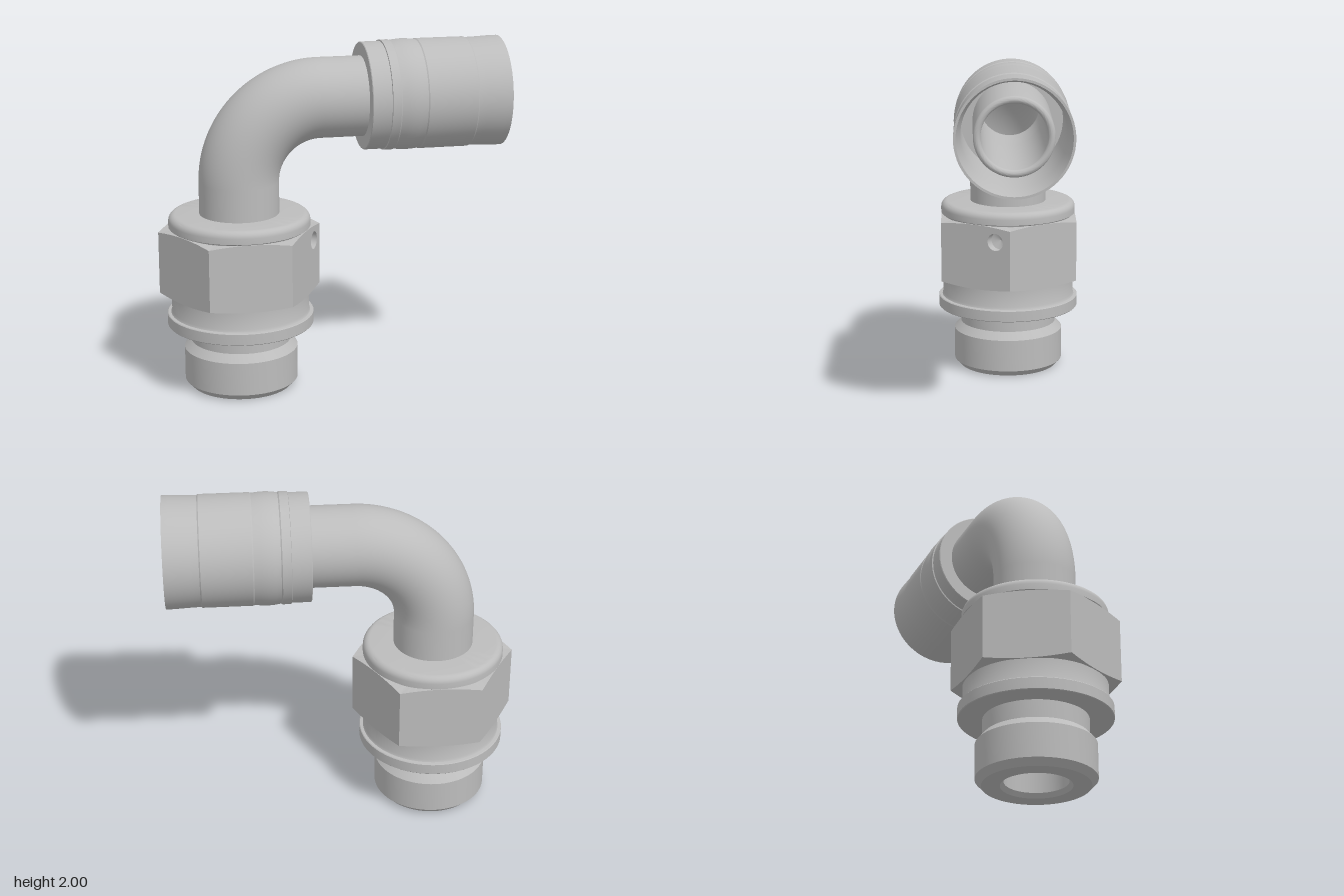
import * as THREE from 'three';
import { toCreasedNormals, mergeGeometries } from 'three/addons/utils/BufferGeometryUtils.js';

const AXIS_X = -0.5325;   // vertical axis of the threaded end
const AXIS_Y = 1.685;     // height of the horizontal hose end
const APOTHEM = 0.406, CORNER = APOTHEM / Math.cos(Math.PI / 6);
const TUBE_R = 0.23, BORE_R = 0.175, BEND_R = 0.465;

export function createModel() {
  const model = new THREE.Group();
  const steel = new THREE.MeshStandardMaterial({ color: 0xbcbcbc, side: THREE.DoubleSide });
  steel.name = 'plain steel';

  const add = (name, geometry, parent = model) => {
    const mesh = new THREE.Mesh(geometry, steel);
    mesh.name = name;
    parent.add(mesh);
    return mesh;
  };
  // Turned part: [radius, height] profile, sharp edges kept
  const turned = (profile, segments = 72) => toCreasedNormals(
    new THREE.LatheGeometry(profile.map(([r, y]) => new THREE.Vector2(r, y)), segments), 0.45);
  // Points of a rounded corner between two angles
  const arc = (cr, cy, radius, from, to, n = 6) => Array.from({ length: n + 1 }, (_, i) => {
    const a = from + (to - from) * i / n;
    return [cr + radius * Math.cos(a), cy + radius * Math.sin(a)];
  });

  // Threaded spigot with bore, neck, flange and lower collar
  add('threadedSpigot', turned([
    [BORE_R, 1.04], [BORE_R, 0.025], [0.195, 0], [0.295, 0], [0.33, 0.037], [0.33, 0.23],
    [0.29, 0.275], [0.29, 0.375], [0.421, 0.375], [0.425, 0.379], [0.425, 0.441],
    [0.421, 0.445], [0.404, 0.447], [0.398, 0.46], [0.398, 0.565],
  ])).position.x = AXIS_X;

  // Rounded collar on top of the nut
  add('topCollar', turned([
    [0.398, 0.94], [0.398, 0.955], [0.408, 0.962],
    ...arc(0.368, 0.995, 0.04, 0, Math.PI / 2), [0.2, 1.035],
  ])).position.x = AXIS_X;

  // Hexagonal nut with conical chamfers and one blind hole
  const nut = new THREE.Group();
  nut.name = 'hexNut';
  nut.position.x = AXIS_X;
  model.add(nut);
  const half = CORNER / 2, N = 12;
  const drop = u => (Math.hypot(u, APOTHEM) - APOTHEM) * 0.27;
  const us = Array.from({ length: N + 1 }, (_, i) => -half + 2 * half * i / N);
  const top = us.map(u => new THREE.Vector2(u, 0.957 - drop(u)));
  const bottom = us.map(u => new THREE.Vector2(u, 0.562 + drop(u)));
  const HOLE_U = -0.136, HOLE_Y = 0.865, HOLE_R = 0.052;

  // Chamfer strip from a face edge in to a circle
  const chamfer = (edge, y, up) => {
    const pos = [];
    const point = (p, inner) => {
      const s = inner ? 0.36 / Math.hypot(p.x, APOTHEM) : 1;
      return [p.x * s, inner ? y : p.y, APOTHEM * s];
    };
    for (let i = 0; i < N; i++) {
      const a = point(edge[i]), b = point(edge[i + 1]);
      const c = point(edge[i + 1], true), d = point(edge[i], true);
      pos.push(...(up ? [a, b, c, a, c, d] : [a, c, b, a, d, c]).flat());
    }
    const g = new THREE.BufferGeometry();
    g.setAttribute('position', new THREE.Float32BufferAttribute(pos, 3));
    g.computeVertexNormals();
    return g;
  };
  for (let k = 0; k < 6; k++) {
    const shape = new THREE.Shape([...bottom, ...top.slice().reverse()]);
    if (k === 0) shape.holes.push(new THREE.Path().absarc(-HOLE_U, HOLE_Y, HOLE_R, 0, Math.PI * 2, true));
    const flat = new THREE.ShapeGeometry(shape, 24).toNonIndexed();
    flat.translate(0, 0, APOTHEM);
    flat.deleteAttribute('uv');
    const side = mergeGeometries([flat, chamfer(top, 0.957, true), chamfer(bottom, 0.562, false)]);
    add('nutFace', side, nut).rotation.y = Math.PI / 3 + k * Math.PI / 3;
  }

  // Blind hole: a cup set into the drilled face
  const cup = turned([[0.0001, -0.07], [HOLE_R, -0.05], [HOLE_R, 0]], 32);
  cup.rotateX(Math.PI / 2);
  cup.translate(-HOLE_U, HOLE_Y, APOTHEM);
  add('nutHole', cup, nut).rotation.y = Math.PI / 3;

  // Bent tube: straight, quarter bend, straight; outer wall and bore
  const bendX = AXIS_X + BEND_R, bendY = AXIS_Y - BEND_R;
  for (const [name, r] of [['tubeWall', TUBE_R], ['tubeBore', BORE_R]]) {
    const rise = new THREE.CylinderGeometry(r, r, bendY - 1.03, 64, 1, true);
    rise.translate(AXIS_X, (bendY + 1.03) / 2, 0);
    const bend = new THREE.TorusGeometry(BEND_R, r, 64, 40, Math.PI / 2);
    bend.rotateZ(Math.PI / 2);
    bend.translate(bendX, bendY, 0);
    const run = new THREE.CylinderGeometry(r, r, 0.19 - bendX, 64, 1, true);
    run.rotateZ(-Math.PI / 2);
    run.translate((bendX + 0.19) / 2, AXIS_Y, 0);
    add(name, mergeGeometries([rise, bend, run]));
  }

  // Crimped hose sleeve, flared at the open end
  const sleeve = add('hoseSleeve', turned([
    [0.2, 0.18], [0.304, 0.18], [0.308, 0.184], [0.308, 0.292], [0.315, 0.294], [0.315, 0.343],
    [0.31, 0.35], [0.315, 0.38], [0.318, 0.42], [0.316, 0.46], [0.312, 0.498], [0.316, 0.505],
    [0.316, 0.788], [0.311, 0.795], [0.312, 0.84], [0.317, 0.95], [0.317, 0.99],
    [0.304, 0.99], [0.28, 0.87], [0.28, 0.4], [0.2, 0.4],
  ]));
  // Inner nipple with a rounded lip
  const nipple = add('hoseNipple', turned([
    [0.215, 0.38], ...arc(0.195, 0.915, 0.02, 0, Math.PI, 10), [BORE_R, 0.18],
  ]));
  for (const part of [sleeve, nipple]) {
    part.rotation.z = -Math.PI / 2;
    part.position.y = AXIS_Y;
  }
  return model;
}
